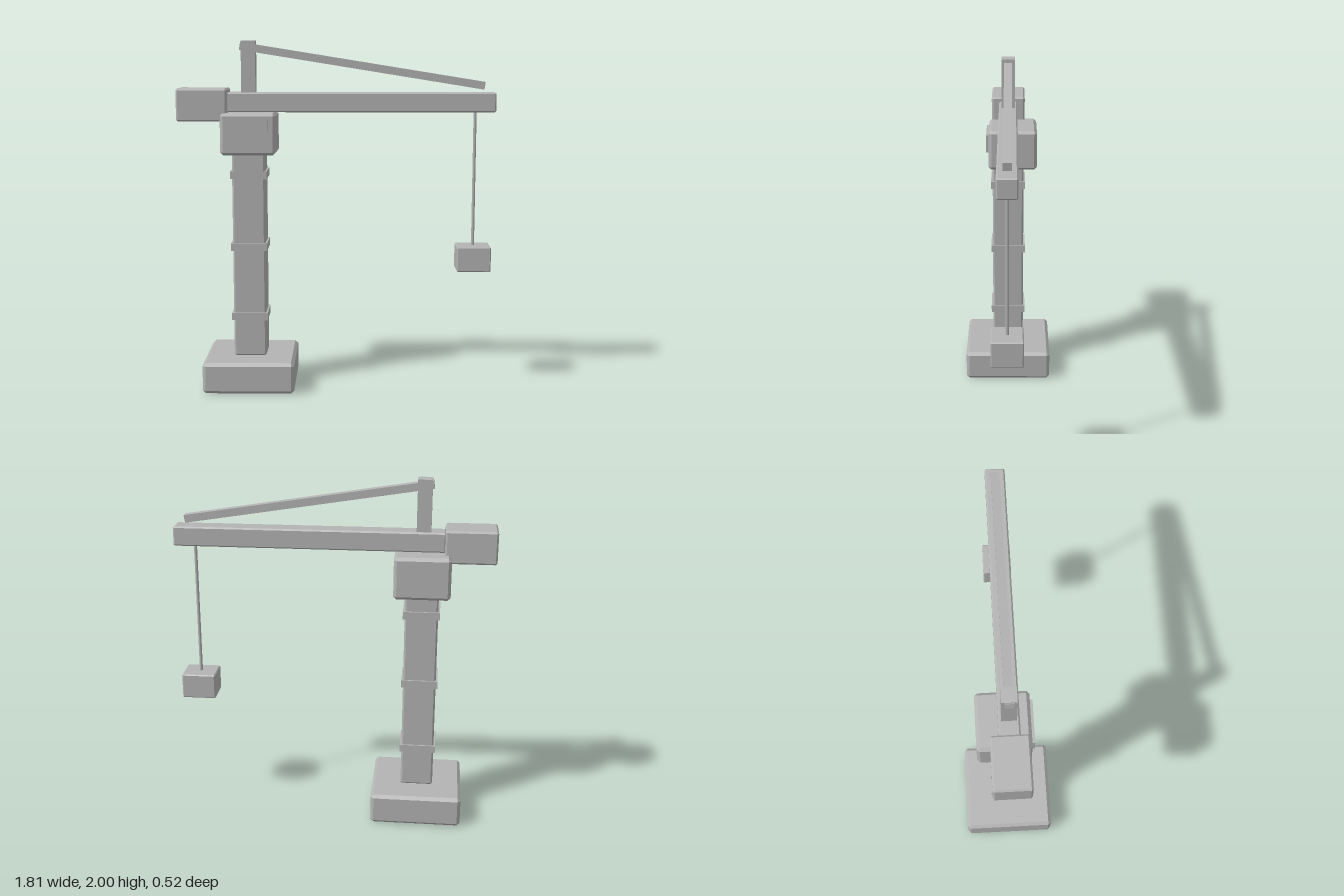
import * as THREE from 'three';
import { ConvexGeometry } from 'three/addons/geometries/ConvexGeometry.js';

// Box with flat chamfers of width c on every edge, centred on the origin
function chamferBox(w, h, d, c) {
  const points = [];
  for (const sx of [-1, 1]) for (const sy of [-1, 1]) for (const sz of [-1, 1]) {
    const x = w / 2, y = h / 2, z = d / 2;
    points.push(
      new THREE.Vector3(sx * x, sy * (y - c), sz * (z - c)),
      new THREE.Vector3(sx * (x - c), sy * y, sz * (z - c)),
      new THREE.Vector3(sx * (x - c), sy * (y - c), sz * z)
    );
  }
  return new ConvexGeometry(points);
}

export function createModel() {
  const crane = new THREE.Group();
  crane.name = 'towerCrane';
  const grey = new THREE.MeshStandardMaterial({ color: 0xb3b3b3 });
  grey.name = 'grey';

  function add(name, geometry, x, y, z) {
    const mesh = new THREE.Mesh(geometry, grey);
    mesh.name = name;
    mesh.position.set(x, y, z);
    crane.add(mesh);
    return mesh;
  }
  // Box given by its extents on each axis; chamfered when c > 0
  function block(name, [x0, x1], [y0, y1], [z0, z1], c = 0) {
    const size = [x1 - x0, y1 - y0, z1 - z0];
    const geometry = c ? chamferBox(...size, c) : new THREE.BoxGeometry(...size);
    return add(name, geometry, (x0 + x1) / 2, (y0 + y1) / 2, (z0 + z1) / 2);
  }

  // Foundation, tower and its collars
  const towerX = -0.502;
  block('base', [-0.764, -0.24], [0, 0.18], [-0.262, 0.262], 0.018);
  block('tower', [-0.596, -0.408], [0.18, 1.37], [-0.094, 0.094], 0.01);
  for (const y of [0.417, 0.827, 1.242]) {
    add('towerCollar', new THREE.BoxGeometry(0.208, 0.044, 0.208), towerX, y, 0);
  }

  // Operator cab with its raised window
  block('cab', [-0.66, -0.344], [1.355, 1.595], [-0.172, 0.116], 0.017);
  block('cabWindow', [-0.62, -0.386], [1.453, 1.56], [0.108, 0.131]);

  // Jib, counterweight and mast
  block('jib', [-0.624, 0.905], [1.597, 1.709], [-0.055, 0.055], 0.008);
  block('counterweight', [-0.908, -0.62], [1.547, 1.733], [-0.101, 0.101], 0.01);
  block('mast', [-0.542, -0.461], [1.7, 2], [-0.04, 0.04]);

  // Sloping tie bar from mast top to jib tip
  const start = new THREE.Vector2(-0.55, 1.97), end = new THREE.Vector2(0.842, 1.746);
  const tie = add('tieBar', new THREE.BoxGeometry(start.distanceTo(end), 0.044, 0.046),
    (start.x + end.x) / 2, (start.y + end.y) / 2, 0);
  tie.rotation.z = Math.atan2(end.y - start.y, end.x - start.x);

  // Hoist cable and hanging load
  add('cable', new THREE.CylinderGeometry(0.009, 0.009, 0.8, 10), 0.791, 1.21, 0);
  block('load', [0.694, 0.889], [0.68, 0.825], [-0.086, 0.086], 0.006);

  return crane;
}
